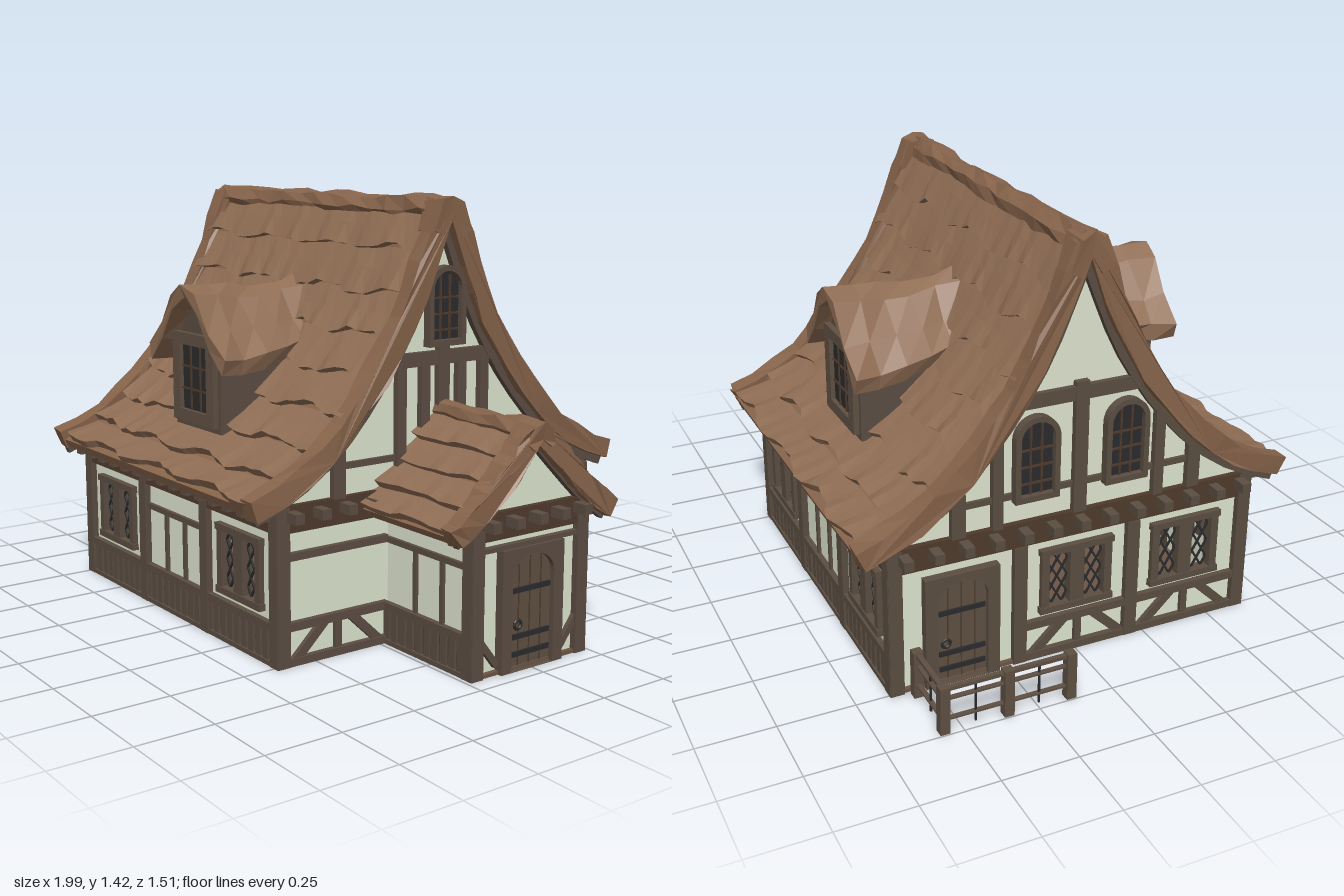
import * as THREE from 'three';

const mat = (color, side = THREE.FrontSide) => new THREE.MeshStandardMaterial({ color, flatShading: true, side });
const M = {
  roof: mat(0x8f6d54, THREE.DoubleSide), trim: mat(0x87644b), plaster: mat(0xdfe6d0), timber: mat(0x5b4d42),
  dark: mat(0x4f3a2c), door: mat(0x5f5043), iron: mat(0x2b2b2d), floor: mat(0x6c5546),
};
let seed = 7;
const rnd = () => (seed = (seed * 16807) % 2147483647) / 2147483647 - 0.5;

function add(parent, name, geo, material, x = 0, y = 0, z = 0) {
  const m = new THREE.Mesh(geo, material);
  m.name = name;
  m.position.set(x, y, z);
  parent.add(m);
  return m;
}
const group = (parent, name, x = 0, y = 0, z = 0, ry = 0) => {
  const g = new THREE.Group();
  g.name = name;
  g.position.set(x, y, z);
  g.rotation.y = ry;
  parent.add(g);
  return g;
};
// Box given by its extents
const box = (p, name, m, x0, x1, y0, y1, z0 = -0.01, z1 = 0.02) =>
  add(p, name, new THREE.BoxGeometry(x1 - x0, y1 - y0, z1 - z0), m, (x0 + x1) / 2, (y0 + y1) / 2, (z0 + z1) / 2);
// Slanted bar in a wall plane
function strut(p, name, m, a, b, w, d = 0.02, z = 0.005) {
  const dx = b[0] - a[0], dy = b[1] - a[1];
  const s = add(p, name, new THREE.BoxGeometry(Math.hypot(dx, dy), w, d), m, (a[0] + b[0]) / 2, (a[1] + b[1]) / 2, z);
  s.rotation.z = Math.atan2(dy, dx);
}
const shapeOf = pts => new THREE.Shape(pts.map(p => new THREE.Vector2(p[0], p[1])));
const rect = (x0, x1, y0, y1) => shapeOf([[x0, y0], [x1, y0], [x1, y1], [x0, y1]]);
const extrude = (shape, depth, steps = 1) => new THREE.ExtrudeGeometry(shape, { depth, steps, bevelEnabled: false, curveSegments: 8 });
// Extrude a (z, y) outline along x
const extrudeX = (pts, x0, x1, steps = 1) => extrude(shapeOf(pts), x1 - x0, steps).rotateY(-Math.PI / 2).translate(x1, 0, 0);
// Move vertices by a repeatable hash of their position, so seams stay closed
function rough(geo, amt) {
  const p = geo.attributes.position, v = new THREE.Vector3();
  const h = k => { const s = Math.sin(k) * 43758.5453; return s - Math.floor(s) - 0.5; };
  for (let i = 0; i < p.count; i++) {
    v.fromBufferAttribute(p, i);
    const k = Math.round(v.x * 500) * 1.3 + Math.round(v.y * 500) * 7.7 + Math.round(v.z * 500) * 3.1;
    p.setXYZ(i, v.x + amt * h(k), v.y + amt * h(k + 1), v.z + amt * h(k + 2));
  }
  geo.computeVertexNormals();
  return geo;
}

// Roof profile: point at fraction s down the slope, lifted by d along the normal
const profile = (pts, apex, cap, k) => ({ curve: new THREE.SplineCurve(pts.map(p => new THREE.Vector2(...p))), apex, cap, k });
function at(pr, s, d) {
  const u = Math.min(s, 1), p = pr.curve.getPointAt(u), t = pr.curve.getTangentAt(u);
  const over = (s - u) * pr.curve.getLength();
  return [p.x + t.x * over - t.y * d, p.y + t.y * over + t.x * d];
}
function outline(pr, d, n = 12) {
  const half = [];
  for (let i = n; i >= 0; i--) { const p = at(pr, i / n, d); if (p[0] > 0.03) half.push(p); }
  return [...half, [0, Math.min(pr.apex + d * pr.k, pr.cap)], ...half.map(p => [-p[0], p[1]]).reverse()];
}
const band = (pr, d0, d1) => [...outline(pr, d0), ...outline(pr, d1).reverse()];

// One row of ragged shingles on the +z slope
function course(pr, x0, x1, s0, s1, t) {
  const cols = Math.round((x1 - x0) / 0.045), pos = [], idx = [], ph = rnd() * 20;
  for (let c = 0; c <= cols; c++) {
    const x = x0 + (x1 - x0) * c / cols;
    const e = s1 + 0.012 * Math.sin(c * 0.8 + ph) + 0.016 * rnd(), h = t + 0.014 * rnd();
    for (const [s, d] of [[s0, 0], [(s0 + s1) / 2, h * 0.55], [e, h], [e - 0.006, -0.015]]) {
      const [z, y] = at(pr, s, d);
      pos.push(x, y, z);
    }
  }
  for (let c = 0; c < cols; c++) for (let r = 0; r < 3; r++) {
    const a = c * 4 + r;
    idx.push(a, a + 1, a + 5, a, a + 5, a + 4);
  }
  const g = new THREE.BufferGeometry();
  g.setAttribute('position', new THREE.Float32BufferAttribute(pos, 3));
  g.setIndex(idx);
  g.computeVertexNormals();
  return g;
}
function roof(parent, name, pr, x0, x1, n, ends, ridgeY, r) {
  const g = group(parent, name);
  add(g, 'roofDeck', extrudeX(band(pr, 0, -0.03), x0, x1), M.trim);
  for (const side of [1, -1]) for (let k = 0; k < n; k++) {
    const [a, b] = side > 0 ? [x0, x1] : [-x1, -x0];
    const end = k < n - 1 ? (k + 1) / n + 0.01 : 0.99;
    add(g, 'shingleRow', course(pr, a, b, k / n, end, 0.026), M.roof).rotation.y = side > 0 ? 0 : Math.PI;
  }
  const len = x1 - x0;
  add(g, 'ridgeCap', rough(new THREE.CylinderGeometry(r, r, len, 7, Math.ceil(len / 0.09)).rotateZ(Math.PI / 2), 0.016), M.trim, (x0 + x1) / 2, ridgeY, 0);
  // saddle-shaped cap over each gable peak
  const drop = r * 0.8 * pr.k / 1.4, side = [[r * 1.6, ridgeY - drop], [r * 0.8, ridgeY + r * 0.7]];
  const saddle = [...side, [0, ridgeY + r], ...side.map(p => [-p[0], p[1]]).reverse(),
    [-r * 0.9, ridgeY - drop - r * 0.4], [0, ridgeY - r * 0.6], [r * 0.9, ridgeY - drop - r * 0.4]];
  for (const e of ends) {
    const s = Math.sign(e - (x0 + x1) / 2), a = e - s * 0.065, b = e - s * 0.09, c = e + s * 0.008;
    add(g, 'gableTrim', rough(extrudeX(band(pr, 0.03, -0.036), Math.min(a, e), Math.max(a, e)), 0.014), M.trim);
    add(g, 'peakCap', rough(extrudeX(saddle, Math.min(b, c), Math.max(b, c)), 0.014), M.trim);
  }
}

// Wall fittings, built facing +z
function casement(p, u) {
  const g = group(p, 'casementWindow', u);
  for (const [x0, x1] of [[-0.125, -0.098], [-0.025, 0.025], [0.098, 0.125]]) box(g, 'windowPost', M.timber, x0, x1, 0.16, 0.385, -0.02, 0.018);
  for (const y of [0.158, 0.365]) box(g, 'windowRail', M.timber, -0.13, 0.13, y, y + 0.022, -0.02, 0.022);
  for (const x of [-0.0615, 0.0615]) for (const k of [1.7, -1.7]) for (let i = -2; i <= 2; i++) {
    // clip each diagonal bar to the opening
    const c = i * 0.062, xs = [(-0.093 - c) / k, (0.093 - c) / k].sort((a, b) => a - b);
    const a = Math.max(-0.037, xs[0]), b = Math.min(0.037, xs[1]);
    if (b - a > 0.005) strut(g, 'leadBar', M.iron, [x + a, 0.272 + k * a + c], [x + b, 0.272 + k * b + c], 0.006, 0.006, -0.005);
  }
}
const casementHoles = u => [-1, 1].map(s => rect(u + s * 0.06 - 0.045, u + s * 0.06 + 0.045, 0.175, 0.37));
function arch(w, h, r = w / 2, y0 = 0) {
  const s = new THREE.Shape();
  s.moveTo(-w / 2, y0);
  s.lineTo(w / 2, y0);
  s.absellipse(0, h - r, w / 2, r, 0, Math.PI, false);
  s.closePath();
  return s;
}
function archWindow(p, u, y, w, h) {
  const g = group(p, 'archedWindow', u, y, 0.008), frame = arch(w, h);
  frame.holes.push(arch(w - 0.036, h - 0.018, w / 2 - 0.018, 0.02));
  add(g, 'archFrame', extrude(frame, 0.03), M.timber);
  add(g, 'glass', extrude(arch(w - 0.03, h - 0.015), 0.01), M.iron);
  for (const x of [-w / 8, w / 8]) box(g, 'glazingBar', M.dark, x - 0.003, x + 0.003, 0.02, h - 0.03, 0, 0.016);
  for (let i = 1; i < 4; i++) box(g, 'glazingBar', M.dark, -w / 2 + 0.02, w / 2 - 0.02, h * i / 5 - 0.003, h * i / 5 + 0.003, 0, 0.016);
}
function door(p, u) {
  const g = group(p, 'door', u), frame = rect(-0.125, 0.125, 0, 0.385);
  frame.holes.push(arch(0.17, 0.36, 0.07, 0.001));
  add(g, 'doorFrame', extrude(frame, 0.03), M.timber);
  add(g, 'doorLeaf', extrude(arch(0.18, 0.365, 0.07), 0.012), M.door);
  for (const x of [-0.045, 0, 0.045]) box(g, 'plankGap', M.dark, x - 0.002, x + 0.002, 0, 0.35, 0, 0.014);
  for (const y of [0.05, 0.105, 0.25]) box(g, 'strapHinge', M.iron, -0.075, 0.08, y - 0.008, y + 0.008, 0, 0.019);
  add(g, 'ringHandle', new THREE.TorusGeometry(0.014, 0.005, 6, 12), M.iron, -0.055, 0.145, 0.022);
}
function wainscot(p, u0, u1) {
  box(p, 'wainscot', M.dark, u0, u1, 0, 0.115, 0, 0.006);
  const n = Math.round((u1 - u0) / 0.042);
  for (let i = 0; i <= n; i++) {
    const x = u0 + (u1 - u0) * i / n;
    box(p, 'board', M.timber, x - 0.014, x + 0.014, 0.015, 0.115, 0, 0.014 + 0.004 * rnd());
  }
  box(p, 'baseRail', M.timber, u0, u1, 0, 0.015);
  box(p, 'wallRail', M.timber, u0, u1, 0.112, 0.137);
}
function infill(p, u0, u1) {
  box(p, 'panelRail', M.timber, u0, u1, 0.333, 0.352, 0, 0.012);
  for (const f of [0.34, 0.66]) { const x = u0 + (u1 - u0) * f; box(p, 'stud', M.timber, x - 0.008, x + 0.008, 0.13, 0.34, 0, 0.01); }
}
function braces(p, u0, u1) {
  const m = (u0 + u1) / 2;
  for (const [y, h] of [[0, 0.025], [0.112, 0.027]]) box(p, 'rail', M.timber, u0, u1, y, y + h);
  box(p, 'shortStud', M.timber, m - 0.012, m + 0.012, 0.02, 0.12, 0, 0.014);
  for (const [s, e] of [[-1, u0], [1, u1]]) strut(p, 'brace', M.timber, [e - s * 0.03, 0.015], [m + s * 0.05, 0.12], 0.03);
}
const post = (p, u, y0, y1, w = 0.045) => box(p, 'post', M.timber, u - w / 2, u + w / 2, y0, y1, -0.02, 0.022);
function eaveBeam(p, u0, u1, n) {
  box(p, 'eaveBeam', M.dark, u0, u1, 0.42, 0.505, -0.02, 0.018);
  for (let i = 0; i < n; i++) { const x = u0 + 0.05 + (u1 - u0 - 0.1) * i / (n - 1); box(p, 'joistEnd', M.timber, x - 0.016, x + 0.016, 0.458, 0.49, -0.02, 0.07); }
}

const MAIN = profile([[0.02, 1.38], [0.085, 1.22], [0.16, 1.05], [0.26, 0.89], [0.36, 0.765], [0.47, 0.655], [0.6, 0.57], [0.735, 0.515]], 1.42, 1.375, 2.5);
const PORCH = profile([[0.02, 0.725], [0.12, 0.625], [0.22, 0.53], [0.32, 0.455]], 0.745, 0.75, 1.41);

function longWall(house, name, ry) {
  const g = group(house, name, 0.62 * Math.sin(ry), 0, 0.62 * Math.cos(ry), ry), s = rect(-0.62, 0.62, 0, 0.5);
  s.holes.push(...casementHoles(-0.41), ...casementHoles(0.41));
  add(g, 'plaster', extrude(s, 0.02), M.plaster, 0, 0, -0.02);
  for (const u of [-0.617, -0.205, 0.205, 0.617]) post(g, u, 0, 0.5);
  wainscot(g, -0.6, 0.6);
  infill(g, -0.19, 0.19);
  for (const u of [-0.41, 0.41]) casement(g, u);
  eaveBeam(g, -0.64, 0.64, 15);
}
function gableWall(house, name, ry, left) {
  const g = group(house, name, 0.62 * Math.sin(ry), 0, 0, ry);
  const top = outline(MAIN, -0.025).filter(p => Math.abs(p[0]) < 0.6);
  const s = shapeOf([[-0.62, 0], [0.62, 0], [0.62, 0.5], ...top, [-0.62, 0.5]]);
  if (left) s.holes.push(...casementHoles(0), ...casementHoles(0.4));
  add(g, 'plaster', extrude(s, 0.02), M.plaster, 0, 0, -0.02);
  add(g, 'rafters', extrude(shapeOf(band(MAIN, -0.025, -0.06)), 0.022), M.timber);
  for (const u of [-0.617, 0.617]) post(g, u, 0, 0.5);
  eaveBeam(g, -0.64, 0.64, 13);
  box(g, 'collarBeam', M.timber, -0.21, 0.21, 0.88, 0.925);
  box(g, 'gableRail', M.timber, -0.42, 0.42, 0.588, 0.608, 0, 0.012);
  for (const u of [-0.41, 0.41]) post(g, u, 0.5, 0.69);
  post(g, 0, 0.5, 0.94);
  if (left) {
    for (const u of [-0.155, 0.155]) archWindow(g, u, 0.58, 0.15, 0.28);
    for (const u of [-0.28, 0.28]) post(g, u, 0.5, 0.81, 0.035);
    door(g, -0.4);
    for (const u of [-0.2, 0.2]) post(g, u, 0, 0.42);
    for (const u of [0, 0.4]) { casement(g, u); braces(g, u - 0.18, u + 0.2); }
  } else {
    archWindow(g, 0, 0.94, 0.15, 0.255);
    for (const u of [-0.17, -0.075, 0.075, 0.17]) post(g, u, 0.5, 0.895, 0.035);
    for (const e of [-1, 1]) {
      const [a, b] = e > 0 ? [0.22, 0.6] : [-0.6, -0.22];
      braces(g, a, b);
      box(g, 'wallRail', M.timber, a, b, 0.333, 0.357);
    }
  }
}
function porch(house) {
  const g = group(house, 'porch');
  for (const ry of [0, Math.PI]) {
    const w = group(g, 'porchSide', 0.84, 0, 0.215 * Math.cos(ry), ry);
    box(w, 'plaster', M.plaster, -0.21, 0.21, 0, 0.47, -0.02, 0);
    wainscot(w, -0.2, 0.2);
    infill(w, -0.2, 0.2);
    eaveBeam(w, -0.21, 0.22, 6);
    post(w, 0.197 * Math.cos(ry), 0, 0.46);
  }
  const f = group(g, 'porchFront', 1.04, 0, 0, Math.PI / 2);
  const top = outline(PORCH, -0.025).filter(p => Math.abs(p[0]) < 0.215);
  add(f, 'plaster', extrude(shapeOf([[-0.215, 0], [0.215, 0], ...top]), 0.02), M.plaster, 0, 0, -0.02);
  add(f, 'rafters', extrude(shapeOf(band(PORCH, -0.025, -0.045)), 0.022), M.timber);
  for (const u of [-0.213, 0.213]) post(f, u, 0, 0.46);
  eaveBeam(f, -0.235, 0.235, 5);
  box(f, 'lintel', M.timber, -0.19, 0.19, 0.385, 0.4);
  for (const s of [-1, 1]) strut(f, 'brace', M.timber, [s * 0.2, 0.12], [s * 0.13, 0.03], 0.022);
  door(f, 0);
  roof(house, 'porchRoof', PORCH, 0.6, 1.07, 4, [1.09], 0.73, 0.037);
}
function dormer(house, ry) {
  const g = group(house, 'dormer', 0, 0, 0, ry);
  add(g, 'dormerBody', extrude(shapeOf([[-0.145, 0.63], [0.145, 0.63], [0.145, 0.92], [0, 1.06], [-0.145, 0.92]]), 0.4), M.timber, 0, 0, 0.13);
  box(g, 'glass', M.iron, -0.085, 0.085, 0.69, 0.91, 0.52, 0.535);
  for (const [x0, x1, y0, y1] of [[-0.13, -0.085, 0.65, 0.95], [0.085, 0.13, 0.65, 0.95], [-0.13, 0.13, 0.65, 0.69], [-0.13, 0.13, 0.91, 0.95]])
    box(g, 'dormerFrame', M.door, x0, x1, y0, y1, 0.52, 0.55);
  for (const x of [-0.03, 0.03]) box(g, 'glazingBar', M.dark, x - 0.003, x + 0.003, 0.69, 0.91, 0.53, 0.54);
  for (const y of [0.76, 0.835]) box(g, 'glazingBar', M.dark, -0.085, 0.085, y - 0.003, y + 0.003, 0.53, 0.54);
  // sagging roof that flattens and sinks into the main slope
  const half = [[0.25, 0.89], [0.16, 0.97], [0.07, 1.085]], up = [...half, [0, 1.125], ...half.map(p => [-p[0], p[1]]).reverse()];
  const geo = extrude(shapeOf([...up, ...up.map(p => [p[0] * 0.95, p[1] - 0.055]).reverse()]), 0.44, 5).translate(0, 0, 0.14), p = geo.attributes.position;
  for (let i = 0; i < p.count; i++) {
    const f = (p.getZ(i) - 0.14) / 0.44, y = p.getY(i);
    p.setXY(i, p.getX(i) * (0.72 + 0.28 * f), y + (1.125 - y) * 0.3 * (1 - f) - 0.02 * Math.sin(f * Math.PI));
  }
  add(g, 'dormerRoof', rough(geo, 0.02), M.roof);
}
function fence(house) {
  const g = group(house, 'fence');
  for (const [x, z] of [[-0.86, -0.56], [-0.86, -0.35], [-0.86, -0.14], [-0.66, -0.56]]) box(g, 'fencePost', M.door, x - 0.016, x + 0.016, 0, 0.16, z - 0.016, z + 0.016);
  for (const [y, t] of [[0.045, 0.006], [0.115, 0.006], [0.15, 0.012]]) {
    box(g, 'sideRail', M.door, -0.86, -0.64, y - t / 2, y + t / 2, -0.568, -0.552);
    box(g, 'longRail', M.door, -0.868, -0.852, y - t / 2, y + t / 2, -0.56, -0.14);
  }
  box(g, 'picket', M.iron, -0.768, -0.762, 0.01, 0.15, -0.563, -0.557);
  for (const z of [-0.455, -0.245]) box(g, 'picket', M.iron, -0.863, -0.857, 0.01, 0.15, z - 0.003, z + 0.003);
}

export function createModel() {
  seed = 7;
  const model = new THREE.Group();
  model.name = 'cottage';
  const house = group(model, 'house', -0.12);
  box(house, 'floor', M.floor, -0.635, 0.635, 0, 0.012, -0.635, 0.635);
  box(house, 'porchFloor', M.floor, 0.63, 1.055, 0, 0.012, -0.23, 0.23);
  longWall(house, 'frontWall', 0);
  longWall(house, 'backWall', Math.PI);
  gableWall(house, 'rightGable', Math.PI / 2, false);
  gableWall(house, 'leftGable', -Math.PI / 2, true);
  roof(house, 'mainRoof', MAIN, -0.645, 0.645, 8, [-0.67, 0.67], 1.365, 0.045);
  for (const ry of [0, Math.PI]) dormer(house, ry);
  porch(house);
  fence(house);
  return model;
}
